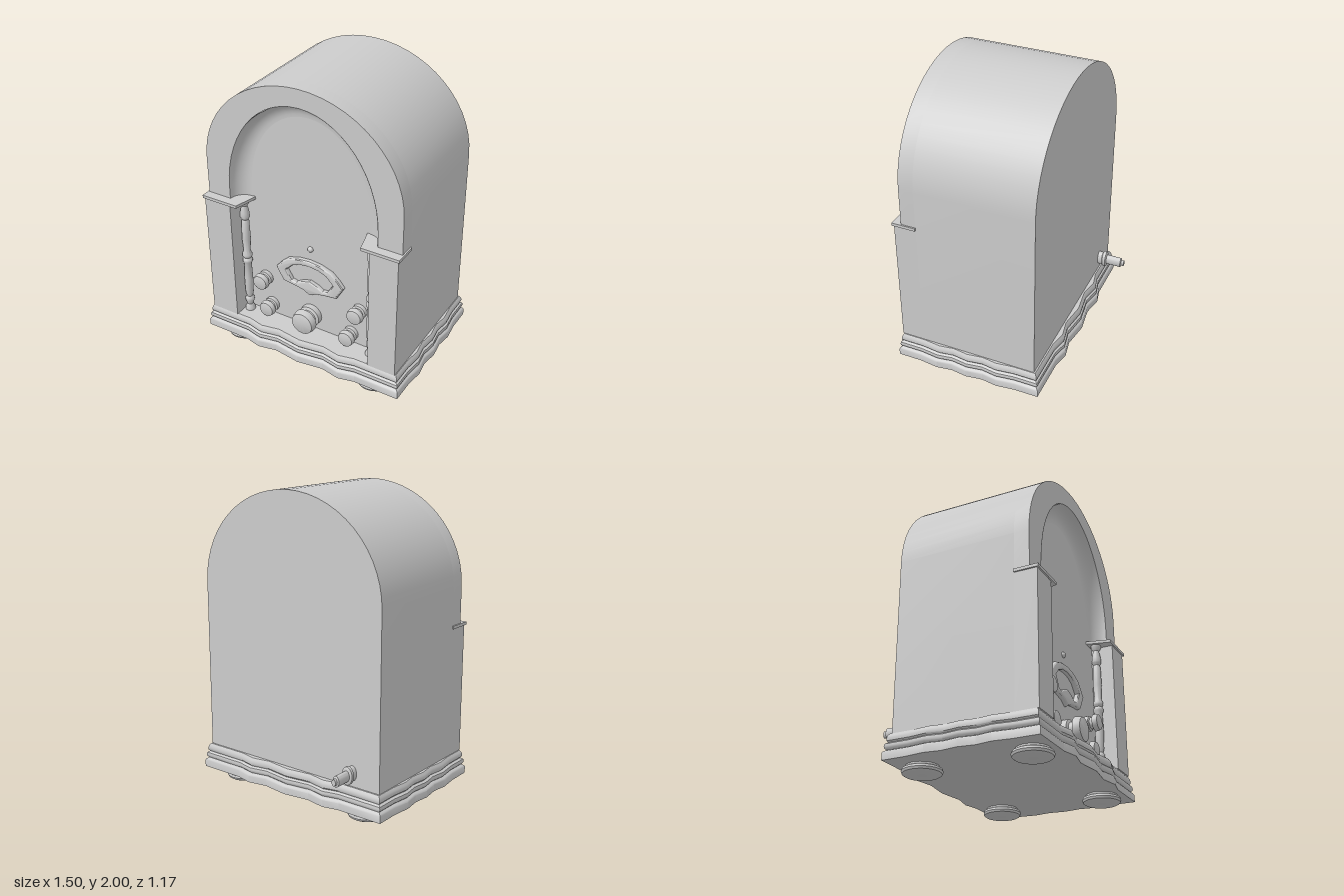
import * as THREE from 'three';
import { toCreasedNormals } from 'three/addons/utils/BufferGeometryUtils.js';

const mat = new THREE.MeshStandardMaterial({ color: 0xcccccc });
const matDouble = new THREE.MeshStandardMaterial({ color: 0xcccccc, side: THREE.DoubleSide });
const PANEL_Z = 0.39, FACE_Z = 0.49;

function add(parent, name, geometry, x = 0, y = 0, z = 0, material = mat) {
  const mesh = new THREE.Mesh(geometry, material);
  mesh.name = name;
  mesh.position.set(x, y, z);
  parent.add(mesh);
  return mesh;
}

const vec2 = (list) => list.map(([x, y]) => new THREE.Vector2(x, y));
const lathe = (list, segments = 28) => toCreasedNormals(new THREE.LatheGeometry(vec2(list), segments).toNonIndexed(), 0.6);

function extrude(points, depth, hole, bevel) {
  const shape = new THREE.Shape(points);
  if (hole) shape.holes.push(new THREE.Path(hole));
  const options = bevel
    ? { depth, bevelEnabled: true, bevelSize: bevel, bevelThickness: bevel, bevelOffset: -bevel, bevelSegments: 3 }
    : { depth, bevelEnabled: false };
  return toCreasedNormals(new THREE.ExtrudeGeometry(shape, options), 0.5);
}

// Half-ellipse arch from right foot to left foot, with straight legs down to y0
function arch(a, b, springY, y0, n = 28) {
  const points = [new THREE.Vector2(a, y0)];
  for (let i = 0; i <= n; i++) {
    const t = (i / n) * Math.PI;
    points.push(new THREE.Vector2(a * Math.cos(t), springY + b * Math.sin(t)));
  }
  points.push(new THREE.Vector2(-a, y0));
  return points;
}

// Quad strip through equal-length loops of points
function loft(rows, closed) {
  const position = [], index = [], n = rows[0].length;
  rows.forEach((row) => row.forEach((p) => position.push(...p)));
  for (let j = 0; j < rows.length - 1; j++) {
    for (let i = 0; i < (closed ? n : n - 1); i++) {
      const a = j * n + i, b = j * n + ((i + 1) % n);
      index.push(a, b, a + n, b, b + n, a + n);
    }
  }
  const geometry = new THREE.BufferGeometry();
  geometry.setAttribute('position', new THREE.Float32BufferAttribute(position, 3));
  geometry.setIndex(index);
  return toCreasedNormals(geometry.toNonIndexed(), 0.6);
}

// Base plinth: wavy outline swept up a stepped moulding profile
function addBase(group) {
  const base = new THREE.Group();
  base.name = 'base';
  group.add(base);
  const front = [[-0.735, 0.5], [-0.42, 0.5], [-0.31, 0.525], [-0.18, 0.5], [0, 0.525], [0.18, 0.5], [0.31, 0.525], [0.42, 0.5]];
  const side = [[0.735, 0.5], [0.735, 0.34], [0.75, 0.215], [0.735, 0.11], [0.75, 0], [0.735, -0.11], [0.75, -0.215], [0.735, -0.34]];
  const half = [...front, ...side];
  const outline = [...half, ...half.map(([x, z]) => [-x, -z])];
  // [height, inset]
  const profile = [[0.055, 0], [0.1, 0], [0.11, 0.006], [0.118, 0.02], [0.128, 0.01], [0.14, 0.007],
    [0.155, 0.01], [0.165, 0.025], [0.175, 0.017], [0.19, 0.016], [0.205, 0.02], [0.22, 0.03]];
  const ring = (y, d) => outline.map(([x, z]) => [x * (1 - d / 0.74), y, z * (1 - d / 0.51)]);
  add(base, 'baseMoulding', loft(profile.map(([y, d]) => ring(y, d)), true), 0, 0, 0.06);
  [[0.055, 0, 'baseUnderside', 1], [0.22, 0.03, 'baseTop', -1]].forEach(([y, d, name, turn]) => {
    const shape = new THREE.Shape(ring(y, d).map(([x, , z]) => new THREE.Vector2(x, z * turn)));
    add(base, name, new THREE.ShapeGeometry(shape), 0, y, 0.06).rotation.x = turn * Math.PI / 2;
  });
  const foot = lathe([[0, 0], [0.105, 0], [0.118, 0.008], [0.124, 0.022], [0.12, 0.036], [0.105, 0.044], [0.1, 0.056], [0, 0.056]], 32);
  for (const x of [-0.53, 0.5]) for (const z of [0.42, -0.29]) add(base, 'foot', foot, x, 0, z);
}

// Arched front frame with its hollow moulding
function addFrontFrame(group) {
  const opening = arch(0.535, 0.68, 1.2, 1.1);
  const outer = arch(0.7, 0.64, 1.36, 1.1);
  add(group, 'frontArch', extrude([...outer, ...opening.reverse()], FACE_Z - PANEL_Z), 0, 0, PANEL_Z);
  const rows = [];
  for (let j = 0; j <= 8; j++) {
    const t = (j / 8) * Math.PI / 2, f = 0.103 * (1 - Math.cos(t));
    const z = FACE_Z - (FACE_Z - PANEL_Z - 0.003) * Math.sin(t);
    rows.push(arch(0.533 - f, 0.678 - f, 1.2, 1.1).map((p) => [p.x, p.y, z]));
  }
  add(group, 'coveMoulding', loft(rows, false), 0, 0, 0, matDouble);
}

// Post, cap and turned column on each side
function addPillars(group) {
  const column = lathe([[0.034, 0.22], [0.034, 0.235], [0.02, 0.265], [0.031, 0.3], [0.03, 0.315], [0.02, 0.33], [0.027, 0.36],
    [0.029, 0.48], [0.025, 0.6], [0.033, 0.615], [0.033, 0.63], [0.023, 0.645], [0.033, 0.66], [0.033, 0.675], [0.023, 0.7],
    [0.029, 0.8], [0.026, 0.93], [0.02, 0.945], [0.032, 0.965], [0.03, 1.0], [0.02, 1.05], [0.034, 1.075], [0.034, 1.09]], 20);
  for (const s of [-1, 1]) {
    add(group, 'post', new THREE.BoxGeometry(0.195, 0.87, 0.15), s * 0.6025, 0.655, 0.465);
    add(group, 'column', column, s * 0.47, 0, 0.435);
    const cap = vec2([[0.41, -0.39], [0.71, -0.39], [0.71, -0.55], [0.45, -0.55]].map(([x, z]) => [s * x, z]));
    add(group, 'postCap', extrude(cap, 0.02), 0, 1.09, 0).rotation.x = -Math.PI / 2;
  }
}

// Dial surround, pilot lamp and knobs on the front panel
function addControls(group) {
  const mirrored = (list) => vec2([...list, ...list.slice(1, -1).reverse().map(([x, y]) => [-x, y])]);
  const rim = [[0, 0.765], [-0.08, 0.757], [-0.165, 0.73], [-0.215, 0.685], [-0.255, 0.637], [-0.2, 0.542], [-0.12, 0.532], [-0.05, 0.52], [0, 0.493]];
  const windowEdge = [[0, 0.72], [-0.07, 0.712], [-0.125, 0.69], [-0.175, 0.638], [-0.135, 0.57], [-0.1, 0.562], [-0.06, 0.585], [0, 0.605]];
  add(group, 'dialSurround', extrude(mirrored(rim), 0.012, mirrored(windowEdge), 0.016), 0, 0, PANEL_Z + 0.004);

  const lamp = new THREE.SphereGeometry(0.02, 16, 10);
  add(group, 'pilotLamp', lamp, 0, 0.845, PANEL_Z);

  const knobProfile = [[0, 0], [0.9, 0], [0.9, 0.3], [0.68, 0.36], [0.68, 0.55], [1, 0.62], [0.98, 0.8], [0.9, 0.98], [0.84, 1], [0, 1]];
  const knobs = [[-0.352, 0.5, 0.056, 0.09], [0.365, 0.5, 0.056, 0.09], [-0.31, 0.295, 0.056, 0.09], [0.303, 0.295, 0.056, 0.09], [0, 0.327, 0.084, 0.13]];
  for (const [x, y, r, depth] of knobs) {
    add(group, 'knob', lathe(knobProfile.map(([a, b]) => [a * r, b * depth])), x, y, PANEL_Z).rotation.x = Math.PI / 2;
  }
}

export function createModel() {
  const group = new THREE.Group();
  group.name = 'tableRadio';
  add(group, 'cabinet', extrude(arch(0.7, 0.64, 1.36, 0.21), 0.79), 0, 0, -0.4);
  addBase(group);
  addFrontFrame(group);
  addPillars(group);
  addControls(group);

  // Flattened cable plug on the back
  const plug = lathe([[0, 0], [0.05, 0], [0.05, 0.03], [0.06, 0.036], [0.06, 0.056], [0.05, 0.062], [0.037, 0.062],
    [0.037, 0.165], [0.022, 0.17], [0.022, 0.188], [0, 0.188]], 20);
  const cable = add(group, 'cablePlug', plug, -0.497, 0.307, -0.4);
  cable.rotation.x = -Math.PI / 2;
  cable.scale.x = 0.66;
  return group;
}
